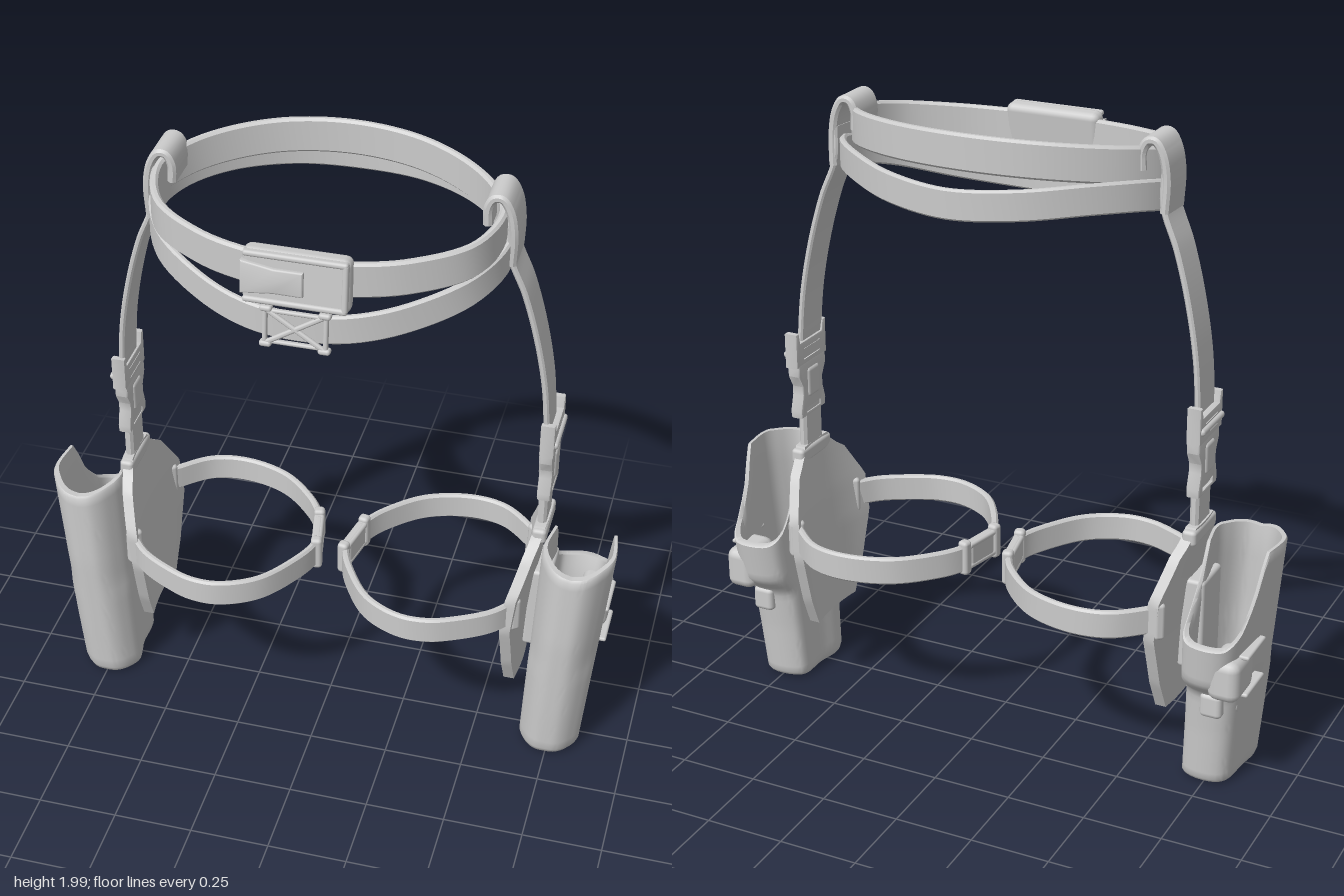
import * as THREE from 'three';
import { toCreasedNormals } from 'three/addons/utils/BufferGeometryUtils.js';
import { RoundedBoxGeometry } from 'three/addons/geometries/RoundedBoxGeometry.js';

const mat = new THREE.MeshStandardMaterial({ color: 0xcccccc, roughness: 0.7, side: THREE.DoubleSide });
const V = (x, y, z) => new THREE.Vector3(x, y, z);

function add(parent, name, geo, crease = 0.6) {
  const m = new THREE.Mesh(crease ? toCreasedNormals(geo, crease) : geo, mat);
  m.name = name;
  parent.add(m);
  return m;
}
function box(parent, name, [w, h, d], [x, y, z], r = 0.012) {
  const m = add(parent, name, new RoundedBoxGeometry(w, h, d, 2, Math.min(r, w * 0.45, h * 0.45, d * 0.45)), 0);
  m.position.set(x, y, z);
  return m;
}
// piecewise linear lookup in [[key, value], ...]
function look(table, k) {
  for (let i = 1; i < table.length; i++) {
    const [a, va] = table[i - 1], [b, vb] = table[i];
    if (k <= b) return va + (vb - va) * Math.max(0, (k - a) / (b - a));
  }
  return table[table.length - 1][1];
}
// skin over rings of points, counter-clockwise when seen from the far end
function loft(rings, closed) {
  const n = rings[0].length, pos = [], idx = [];
  rings.forEach(r => r.forEach(p => pos.push(p.x, p.y, p.z)));
  const last = closed ? rings.length : rings.length - 1;
  for (let i = 0; i < last; i++) for (let j = 0; j < n; j++) {
    const i2 = (i + 1) % rings.length, j2 = (j + 1) % n;
    const a = i * n + j, b = i * n + j2, c = i2 * n + j, d = i2 * n + j2;
    idx.push(a, b, d, a, d, c);
  }
  if (!closed) [0, rings.length - 1].forEach((i, end) => {
    const c = rings[i].reduce((s, p) => s.add(p), V(0, 0, 0)).divideScalar(n);
    const k = pos.length / 3;
    pos.push(c.x, c.y, c.z);
    for (let j = 0; j < n; j++) {
      const a = i * n + j, b = i * n + (j + 1) % n;
      idx.push(k, ...(end ? [a, b] : [b, a]));
    }
  });
  const g = new THREE.BufferGeometry();
  g.setAttribute('position', new THREE.Float32BufferAttribute(pos, 3));
  g.setIndex(idx);
  return g;
}
// flat webbing swept along a path; wide along the given direction
function band(pts, wide, width, thick, closed = false, steps = 48) {
  const curve = new THREE.CatmullRomCurve3(pts.map(p => V(...p)), closed, 'centripetal');
  const h = width / 2, t = thick / 2, c = t * 0.6;
  const section = [[t, c - h], [t, h - c], [t - c, h], [c - t, h], [-t, h - c], [-t, c - h], [c - t, -h], [t - c, -h]];
  const rings = [];
  for (let i = 0; i < (closed ? steps : steps + 1); i++) {
    const p = curve.getPointAt(i / steps), tan = curve.getTangentAt(i / steps);
    const w = wide.clone().addScaledVector(tan, -wide.dot(tan)).normalize();
    const n = w.clone().cross(tan);
    rings.push(section.map(([a, b]) => p.clone().addScaledVector(n, a).addScaledVector(w, b)));
  }
  return loft(rings, closed);
}
// extruded outline given in (z, y), centred on x
function sidePlate(outline, holes, x, depth) {
  const path = pts => pts.map(([z, y]) => new THREE.Vector2(-z, y));
  const s = new THREE.Shape(path(outline));
  holes.forEach(h => s.holes.push(new THREE.Path(path(h))));
  const b = 0.006;
  const g = new THREE.ExtrudeGeometry(s, { depth: depth - 2 * b, bevelSize: b, bevelThickness: b, bevelOffset: -b, bevelSegments: 2 });
  return g.translate(0, 0, b - depth / 2).rotateY(Math.PI / 2).translate(x, 0, 0);
}
const rect = (z0, z1, y0, y1) => [[z0, y0], [z1, y0], [z1, y1], [z0, y1]];
const loopOf = half => [...half, ...half.slice(1, -1).reverse().map(([x, y, z]) => [-x, y, z])];

function holsterGeometry() {
  // across (outer side positive) and along (0 back, 1 front)
  const outline = new THREE.CatmullRomCurve3([[0, 1], [0.4, 0.98], [0.75, 0.88], [1, 0.72], [0.88, 0.42], [0.76, 0.12],
    [0.5, 0], [-0.5, 0], [-0.8, 0.1], [-0.82, 0.42], [-0.98, 0.72], [-0.75, 0.88], [-0.4, 0.98]]
    .map(([u, v]) => V(u, v, 0)), true, 'centripetal').getPoints(64).slice(0, 64);
  const rim = [[0, 0.54], [0.16, 0.58], [0.32, 0.66], [0.39, 0.73], [0.45, 0.79], [1, 0.785]];
  const back = [[0, -0.16], [0.2, -0.175], [0.34, -0.19], [0.4, -0.25], [0.54, -0.27], [0.8, -0.27]];
  const front = [[0, 0.135], [0.2, 0.145], [0.5, 0.157], [0.8, 0.155]];
  const ring = (t, s) => outline.map(({ x: u, y: v }) => {
    const top = look(rim, v) - (v > 0.8 ? 0.02 * (1 - Math.abs(u)) : 0);
    const y = 0.01 + (top - 0.01) * t, k = y / 0.78;
    const w = 0.5 + (v - 0.5) * s;
    const z = look(back, y) * (1 - w) + look(front, y) * w;
    return V(0.746 + 0.049 * k + u * s * (0.097 + 0.018 * k), y, z);
  });
  const rings = [ring(0, 0.87), ring(0.012, 0.95), ring(0.035, 1)];
  for (let i = 1; i <= 24; i++) rings.push(ring(0.035 + 0.955 * i / 24, 1));
  rings.push(ring(1, 0.97), ring(1, 0.88));
  for (let i = 1; i <= 10; i++) rings.push(ring(1 - 0.07 * i, 0.85));
  return loft(rings, false);
}

// thigh plate: a box whose width and lean follow its height
function thighPlateGeometry() {
  const half = [[0.25, 0.12], [0.35, 0.165], [0.52, 0.215], [0.65, 0.215], [0.775, 0.14], [0.81, 0.085], [0.845, 0.07]];
  const lean = [[0.25, 0.618], [0.52, 0.632], [0.65, 0.645], [0.845, 0.67]];
  const g = new THREE.BoxGeometry(0.034, 0.595, 2, 1, 24, 10);
  const p = g.attributes.position;
  for (let i = 0; i < p.count; i++) {
    const y = p.getY(i) + 0.5475, z = p.getZ(i) * look(half, y);
    p.setXYZ(i, p.getX(i) + look(lean, y) - 0.7 * z * z, y, z - 0.055);
  }
  return g;
}

function buildSide() {
  const g = new THREE.Group(), up = V(0, 1, 0), across = V(0, 0, 1);
  // hanging strap, folded over the belt at the top
  add(g, 'hangingStrap', band([[0.53, 1.9, -0.02], [0.532, 1.8, -0.025], [0.578, 1.68, -0.03], [0.62, 1.53, -0.035],
    [0.652, 1.36, -0.04], [0.668, 1.17, -0.045]], across, 0.125, 0.018));
  add(g, 'beltLoop', band([[0.462, 1.9, -0.02], [0.462, 1.955, -0.02], [0.478, 1.985, -0.02], [0.502, 1.986, -0.02],
    [0.525, 1.95, -0.02], [0.538, 1.88, -0.02], [0.536, 1.78, -0.025]], across, 0.135, 0.026));
  // strap adjuster and side-release clip
  add(g, 'strapAdjuster', sidePlate([[0.03, 1.12], [0.03, 1.235], [0.012, 1.235], [0.005, 1.2], [-0.125, 1.2], [-0.132, 1.235],
    [-0.15, 1.235], [-0.15, 1.12]], [rect(-0.115, -0.005, 1.135, 1.15), rect(-0.115, -0.005, 1.17, 1.185)], 0.672, 0.045));
  box(g, 'adjusterBar', [0.03, 0.022, 0.17], [0.69, 1.16, -0.06]);
  add(g, 'clip', sidePlate([[0.02, 1.13], [0.022, 1.09], [0.0, 1.05], [0.0, 1.02], [0.015, 0.97], [0.012, 0.945], [-0.132, 0.945],
    [-0.135, 0.97], [-0.12, 1.02], [-0.12, 1.05], [-0.142, 1.09], [-0.14, 1.13]], [rect(-0.1, -0.02, 0.958, 0.972)], 0.67, 0.042));
  box(g, 'clipTongue', [0.054, 0.1, 0.07], [0.67, 1.055, -0.06]);
  add(g, 'lowerStrap', band([[0.667, 0.98, -0.057], [0.667, 0.9, -0.057], [0.667, 0.79, -0.057]], across, 0.105, 0.028, false, 8));
  // thigh plate and holster mount
  add(g, 'thighPlate', thighPlateGeometry());
  box(g, 'plateTab', [0.045, 0.05, 0.18], [0.667, 0.815, -0.057]);
  box(g, 'holsterMount', [0.08, 0.3, 0.15], [0.675, 0.52, -0.05]);
  // leg strap
  add(g, 'legStrap', band([[0.62, 0.585, 0.12], [0.56, 0.585, 0.19], [0.46, 0.585, 0.25], [0.38, 0.585, 0.28], [0.29, 0.585, 0.28],
    [0.18, 0.585, 0.225], [0.1, 0.585, 0.12], [0.052, 0.585, 0.01], [0.06, 0.585, -0.08], [0.085, 0.585, -0.155], [0.13, 0.585, -0.22],
    [0.24, 0.585, -0.315], [0.385, 0.585, -0.355], [0.5, 0.585, -0.335], [0.62, 0.585, -0.235]], up, 0.09, 0.022, false, 80));
  for (const [z, turn] of [[0.125, 0.6], [-0.245, -0.7]])
    box(g, 'strapKeeper', [0.035, 0.12, 0.05], [0.618, 0.585, z]).rotation.y = turn;
  // inner leg clip
  const clip = new THREE.Group();
  clip.name = 'legClip';
  box(clip, 'clipBody', [0.03, 0.09, 0.12], [0, 0, 0]);
  for (const z of [-0.075, 0.075]) box(clip, 'clipEnd', [0.036, 0.115, 0.035], [0, 0, z]);
  for (const y of [-0.035, 0.035]) box(clip, 'clipProng', [0.034, 0.018, 0.13], [0, y, 0]);
  clip.position.set(0.06, 0.588, -0.065);
  clip.rotation.y = -0.2;
  g.add(clip);
  // holster with retention guard and screw
  add(g, 'holster', holsterGeometry(), 0.75);
  box(g, 'retentionGuard', [0.1, 0.135, 0.155], [0.832, 0.43, -0.19], 0.03);
  for (const y of [0.37, 0.495]) box(g, 'guardFlange', [0.035, 0.014, 0.15], [0.876, y, -0.13]);
  box(g, 'releaseLever', [0.07, 0.08, 0.05], [0.78, 0.31, -0.19], 0.015);
  const screw = add(g, 'screw', new THREE.TorusGeometry(0.016, 0.006, 8, 20), 0);
  screw.position.set(0.838, 0.29, -0.13);
  screw.rotation.y = Math.PI / 2;
  return g;
}

function buildBuckle() {
  const g = new THREE.Group();
  g.name = 'beltBuckle';
  box(g, 'buckleBody', [0.31, 0.165, 0.06], [0, 0, 0], 0.022);
  for (const y of [-0.07, 0.07]) box(g, 'buckleRim', [0.3, 0.018, 0.025], [0, y, 0.026]);
  box(g, 'buckleRim', [0.018, 0.15, 0.025], [0.142, 0, 0.026]);
  const s = new THREE.Shape([[-0.15, -0.045], [-0.06, -0.035], [0.02, -0.035], [0.02, 0.03], [-0.06, 0.03], [-0.15, 0.045]]
    .map(p => new THREE.Vector2(...p)));
  add(g, 'buckleTab', new THREE.ExtrudeGeometry(s, { depth: 0.018, bevelSize: 0.005, bevelThickness: 0.005 })).position.z = 0.02;
  g.position.set(0, 1.84, 0.348);
  g.rotation.x = -0.1;
  return g;
}

function buildCrossClip() {
  const g = new THREE.Group();
  g.name = 'crossClip';
  for (const s of [-1, 1]) {
    box(g, 'crossBar', [0.21, 0.015, 0.014], [0, 0, 0.004]).rotation.z = s * 0.55;
    box(g, 'sideBar', [0.014, 0.11, 0.02], [s * 0.088, 0, 0]);
    box(g, 'topBar', [0.17, 0.012, 0.016], [0, s * 0.048, 0]);
    for (const t of [-1, 1]) box(g, 'cornerHook', [0.036, 0.018, 0.028], [s * 0.085, t * 0.055, 0]);
  }
  g.position.set(0, 1.69, 0.378);
  g.rotation.x = -0.1;
  return g;
}

export function createModel() {
  const model = new THREE.Group(), up = V(0, 1, 0);
  // upper belt tilts evenly towards the front
  const upper = [[0, -0.275], [0.2, -0.245], [0.36, -0.165], [0.46, -0.07], [0.505, 0.03], [0.455, 0.18], [0.3, 0.285], [0.15, 0.33], [0, 0.345]]
    .map(([x, z]) => [x, 1.845 + (0.345 - z) * 0.16, z]);
  const lower = [[0, 1.825, -0.385], [0.2, 1.835, -0.345], [0.38, 1.845, -0.23], [0.49, 1.835, -0.1], [0.525, 1.81, 0.02],
    [0.46, 1.77, 0.17], [0.3, 1.72, 0.285], [0.15, 1.695, 0.345], [0, 1.688, 0.362]];
  add(model, 'upperBelt', band(loopOf(upper), up, 0.11, 0.024, true, 96));
  add(model, 'lowerBelt', band(loopOf(lower), up, 0.092, 0.02, true, 96));
  model.add(buildBuckle(), buildCrossClip());
  // left side and its mirror
  const left = buildSide(), right = buildSide();
  left.name = 'leftLegRig';
  right.name = 'rightLegRig';
  right.scale.x = -1;
  model.add(left, right);
  return model;
}
